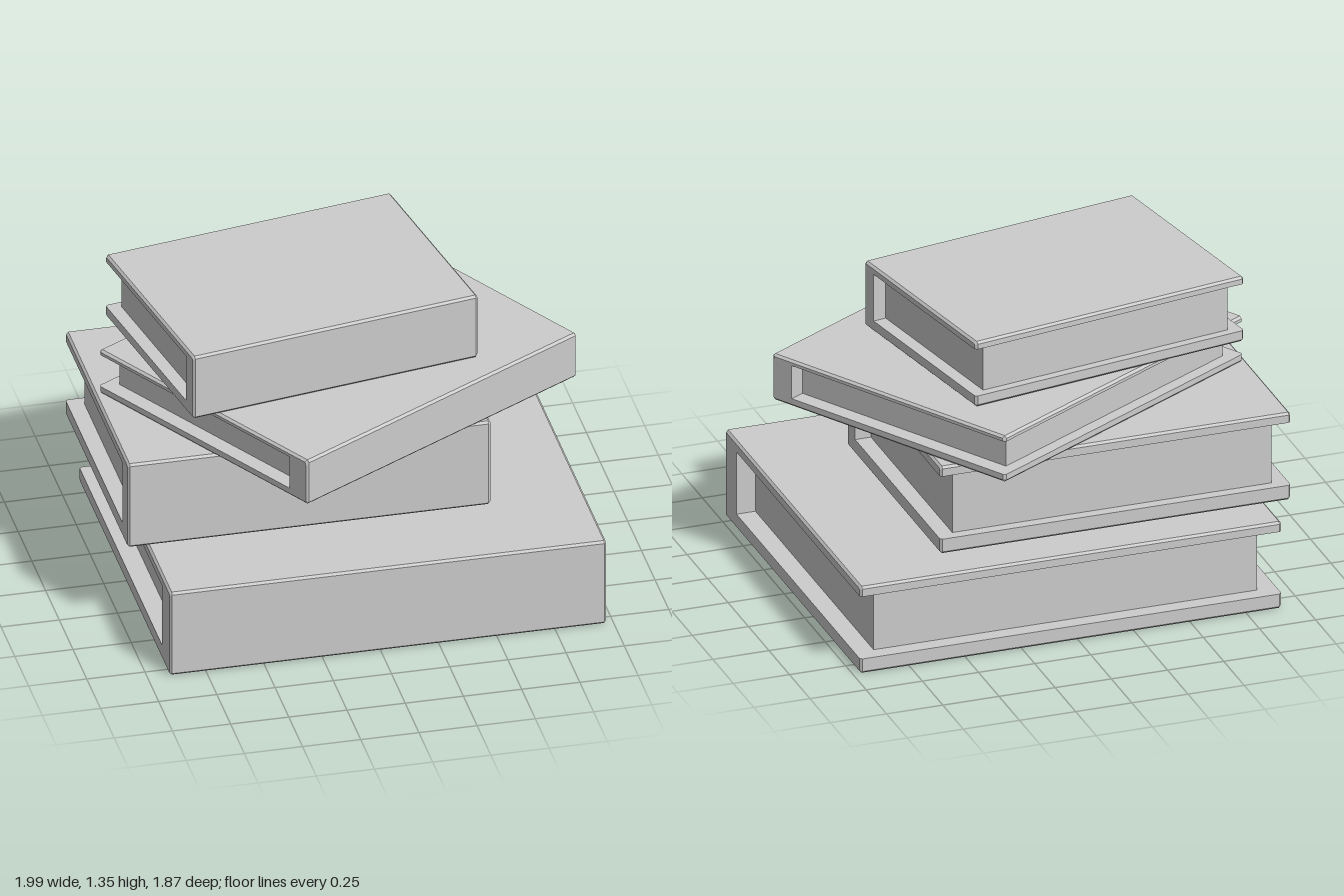
import * as THREE from 'three';

const grey = new THREE.MeshStandardMaterial({ color: 0xcccccc });
grey.name = 'grey';

// Hard cover: a C-shaped profile (spine plus two boards) run along the width.
function coverGeometry(w, h, d, inner) {
  const b = 0.01; // chamfer of the outer edges
  const s = new THREE.Shape();
  s.moveTo(-d / 2 + b, 0);
  s.lineTo(d / 2 - b, 0);
  s.lineTo(d / 2, b);
  s.lineTo(d / 2, inner.bottom);
  s.lineTo(inner.spine, inner.bottom);
  s.lineTo(inner.spine, inner.top);
  s.lineTo(d / 2, inner.top);
  s.lineTo(d / 2, h - b);
  s.lineTo(d / 2 - b, h);
  s.lineTo(-d / 2 + b, h);
  s.lineTo(-d / 2, h - b);
  s.lineTo(-d / 2, b);
  s.closePath();
  const geo = new THREE.ExtrudeGeometry(s, {
    depth: w - 2 * b, steps: 1, bevelEnabled: true,
    bevelThickness: b, bevelSize: b, bevelOffset: -b, bevelSegments: 1,
  });
  geo.translate(0, 0, -w / 2 + b);

  // Keep the inner edges square: only the outer edges are chamfered.
  const p = geo.attributes.position;
  const snap = (v, target) => (Math.abs(v - target) < b * 1.1 ? target : v);
  for (let i = 0; i < p.count; i++) {
    p.setX(i, snap(p.getX(i), inner.spine));
    p.setY(i, snap(snap(p.getY(i), inner.bottom), inner.top));
  }
  geo.rotateY(Math.PI / 2); // spine faces +z
  geo.computeVertexNormals();
  return geo;
}

function createBook(name, { w, h, d, x, y, z, turn }) {
  const book = new THREE.Group();
  book.name = name;
  const inner = { bottom: h * 0.17, top: h * 0.888, spine: -d / 2 + d * 0.085 };

  const cover = new THREE.Mesh(coverGeometry(w, h, d, inner), grey);
  cover.name = 'cover';

  // Page block, set back from the three open edges.
  const depth = d * (1 - 0.085 - 0.042);
  const pages = new THREE.Mesh(
    new THREE.BoxGeometry(w * 0.91, inner.top - inner.bottom, depth), grey);
  pages.name = 'pages';
  pages.position.set(0, (inner.top + inner.bottom) / 2, -inner.spine - depth / 2);

  book.add(cover, pages);
  book.position.set(x, y, z);
  book.rotation.y = THREE.MathUtils.degToRad(turn);
  return book;
}

export function createModel() {
  const model = new THREE.Group();
  model.name = 'bookStack';
  model.add(
    createBook('bottomBook', { w: 1.876, h: 0.4, d: 1.652, x: 0.032, y: 0, z: -0.02, turn: 0 }),
    createBook('secondBook', { w: 1.56, h: 0.403, d: 1.138, x: -0.22, y: 0.422, z: -0.131, turn: 0 }),
    createBook('thirdBook', { w: 1.55, h: 0.212, d: 1.272, x: 0.007, y: 0.827, z: -0.002, turn: 30 }),
    createBook('topBook', { w: 1.297, h: 0.3, d: 0.932, x: -0.176, y: 1.046, z: -0.07, turn: 10 }),
  );
  return model;
}
